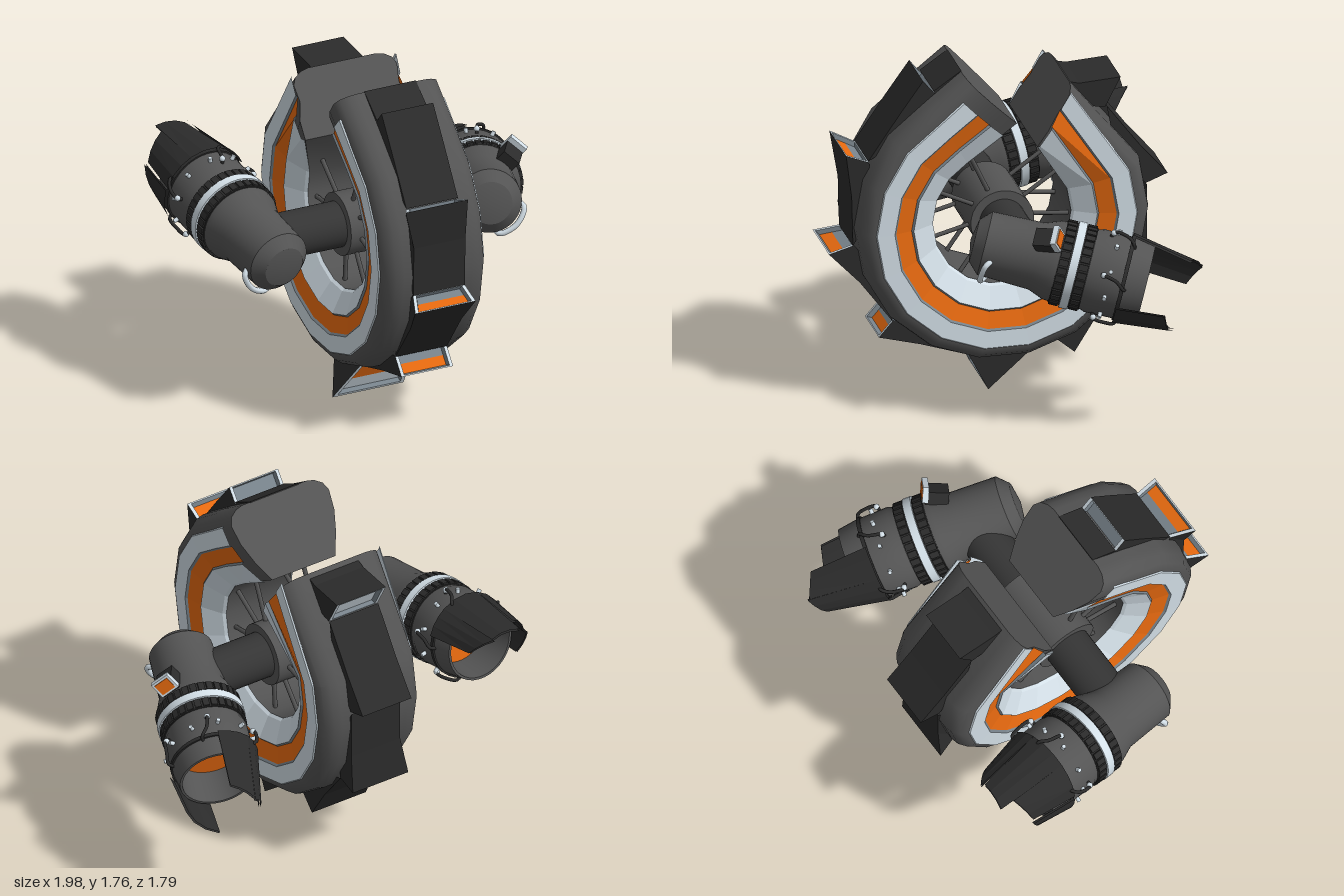
import * as THREE from 'three';
import { toCreasedNormals } from 'three/addons/utils/BufferGeometryUtils.js';

const mat = (name, color) => {
  const m = new THREE.MeshStandardMaterial({ color, side: THREE.DoubleSide });
  m.name = name;
  return m;
};
const RAD = Math.PI / 180, CX = -0.03, CY = 0.968;
const V = (x, y, z) => new THREE.Vector3(x, y, z);

export function createModel() {
  const M = {
    hull: mat('hull grey', 0x545454), black: mat('black plating', 0x2b2b2b),
    axle: mat('axle grey', 0x353535), light: mat('pale panel', 0xd4e0e8),
    orange: mat('orange', 0xec6c10), steel: mat('slate trim', 0x78838b),
  };
  const root = new THREE.Group();
  const add = (parent, name, geo, m) => {
    const mesh = new THREE.Mesh(geo, m);
    mesh.name = name;
    parent.add(mesh);
    return mesh;
  };
  // Faceted geometry from polygons of Vector3 corners
  const faces = (list) => {
    const p = [];
    for (const f of list)
      for (let i = 1; i < f.length - 1; i++) p.push(...f[0], ...f[i], ...f[i + 1]);
    const g = new THREE.BufferGeometry();
    g.setAttribute('position', new THREE.Float32BufferAttribute(p, 3));
    g.computeVertexNormals();
    return g;
  };
  // Point on the wheel: angle from the top towards the front, radius, sideways offset
  const polar = (deg, r, x) =>
    V(CX + x, CY + r * Math.cos(deg * RAD), r * Math.sin(deg * RAD));

  // ---- Broken ring: a cross-section swept round; both torn ends are straight cuts.
  // A cut is [inner r, z, y, outer r, z, y].
  const angles = [];
  for (let a = 30; a <= 290; a += 20) angles.push(a);
  const onCut = ([r0, z0, y0, r1, z1, y1], r, x) => {
    const t = (r - r0) / (r1 - r0);
    return V(CX + x, y0 + (y1 - y0) * t, z0 + (z1 - z0) * t);
  };
  // The rear end is splayed outwards near its inner edge
  const splay = (r, x) => x * (1 + Math.max(0, 0.56 - r) * (x < 0 ? 3 : 2.5));
  const sweep = (profile, cuts, closed) => {
    const rows = [
      profile.map(([r, x]) => onCut(cuts[0], r, x)),
      ...angles.map((a) => profile.map(([r, x]) => polar(a, r, x))),
      profile.map(([r, x]) => onCut(cuts[1], r, splay(r, x))),
    ];
    const list = [], n = profile.length;
    for (let i = 0; i < rows.length - 1; i++)
      for (let j = 0; j < (closed ? n : n - 1); j++) {
        const k = (j + 1) % n;
        list.push([rows[i][j], rows[i][k], rows[i + 1][k], rows[i + 1][j]]);
      }
    if (closed) list.push(rows[0], rows[rows.length - 1].slice().reverse());
    return faces(list);
  };
  const ring = new THREE.Group();
  ring.name = 'brokenRing';
  root.add(ring);
  const half = [[0.76, 0.19], [0.75, 0.232], [0.722, 0.272], [0.68, 0.29], [0.58, 0.278], [0.475, 0.242], [0.362, 0.188]];
  const section = [...half, ...half.map(([r, x]) => [r, -x]).reverse()];
  const bodyCuts = [[0.36, -0.08, 1.47, 0.757, 0.2, 1.765], [0.36, -0.16, 1.37, 0.757, -0.35, 1.67]];
  add(ring, 'ringBody', toCreasedNormals(sweep(section, bodyCuts, true), 0.62), M.hull);
  const panelCuts = [[0.366, -0.005, 1.417, 0.68, 0.224, 1.655], [0.366, -0.167, 1.375, 0.68, -0.333, 1.656]];
  for (const s of [1, -1]) {
    const side = (name, pts, m) =>
      add(ring, name, sweep(pts.map(([r, x]) => [r, x * s]), panelCuts, false), m);
    side('outerSidePanel', [[0.682, 0.288], [0.676, 0.296], [0.584, 0.294]], M.light);
    side('outerTrim', [[0.584, 0.294], [0.574, 0.284]], M.steel);
    side('orangeStripe', [[0.574, 0.284], [0.488, 0.258]], M.orange);
    side('innerTrim', [[0.488, 0.258], [0.478, 0.267]], M.steel);
    side('innerSidePanel', [[0.478, 0.267], [0.372, 0.203], [0.36, 0.188]], M.light);
  }

  // ---- Saw-tooth scoops round the rim:
  // tip angle, tip radius, lead of the base, tail angle, sideways flare
  const teeth = [
    [27.6, 0.863, 1.6, 35, 0], [63.7, 0.893, 0.8, 34, 0.06], [98.6, 0.9, 1.3, 35, 0.05],
    [134.3, 0.88, 0.7, 33, 0], [176.4, 0.957, 9, 26, 0.11], [206.1, 0.886, 4, 33, 0.03],
    [242, 0.884, 3, 34, 0.04], [278.8, 0.885, 2, 35, 0], [317.4, 0.931, 3.4, 15.6, 0],
  ];
  const W = 0.145;
  teeth.forEach(([a, rt, lead, tail, flare], i) => {
    const tooth = new THREE.Group();
    tooth.name = 'rimScoop';
    ring.add(tooth);
    const pts = [[a - lead, 0.765], [a, rt], [a + Math.min(14, tail * 0.7), 0.79], [a + tail, 0.772], [a + tail / 2, 0.67]];
    const R = pts.map(([d, r]) => polar(d, r, W));
    const L = pts.map(([d, r], k) => polar(d, r, k === 1 ? -W - flare : -W));
    const cheek = (P) => [[P[0], P[1], P[2]], [P[0], P[2], P[4]], [P[2], P[3], P[4]]];
    add(tooth, 'scoopShell', faces([
      ...cheek(R), ...cheek(L).map((f) => f.reverse()),
      [R[1], L[1], L[2], R[2]], [R[2], L[2], L[3], R[3]],
    ]), M.black);
    // Framed opening on the leading side, its back wall in two colours
    const outer = [R[0], R[1], L[1], L[0]];
    const mid = outer.reduce((s, v) => s.add(v), V(0, 0, 0)).multiplyScalar(0.25);
    const inner = outer.map((v) => v.clone().lerp(mid, 0.12));
    const depth = polar(a + 9, 0.77, 0).sub(mid).setLength(0.025);
    const deep = inner.map((v) => v.clone().lerp(mid, 0.06).add(depth));
    const split = i === 4 ? 0.62 : 0.45;
    const cutR = deep[0].clone().lerp(deep[1], split), cutL = deep[3].clone().lerp(deep[2], split);
    const nearBase = [deep[0], cutR, cutL, deep[3]], nearTip = [cutR, deep[1], deep[2], cutL];
    const bridge = (A, B) => A.map((v, k) => [v, A[(k + 1) % 4], B[(k + 1) % 4], B[k]]);
    const [baseMat, tipMat] = { 0: [M.steel, M.steel], 4: [M.orange, M.light], 8: [M.light, M.light] }[i]
      ?? [M.steel, M.orange];
    add(tooth, 'scoopFrame', faces(bridge(outer, inner)), M.light);
    add(tooth, 'scoopWalls', faces(bridge(inner, deep)), M.steel);
    add(tooth, 'scoopBackInner', faces([nearBase]), baseMat);
    add(tooth, 'scoopBackOuter', faces([nearTip]), tipMat);
  });
  // Short rim strip ahead of the first scoop
  const [s0, s1] = [[14, 0.828], [26, 0.785]].map(([d, r]) =>
    [polar(d, r, W), polar(d, r, -W), polar(d, r - 0.08, -W), polar(d, r - 0.08, W)]);
  add(ring, 'rimStrip', faces([s0, ...s0.map((v, k) => [v, s0[(k + 1) % 4], s1[(k + 1) % 4], s1[k]])]), M.black);

  // ---- Axle, hub drum and two rows of spokes
  const rod = (parent, name, a, b, r, m, seg = 8) => {
    const mesh = add(parent, name, new THREE.CylinderGeometry(r, r, a.distanceTo(b), seg), m);
    mesh.position.copy(a).lerp(b, 0.5);
    mesh.quaternion.setFromUnitVectors(V(0, 1, 0), b.clone().sub(a).normalize());
  };
  rod(root, 'axle', V(-0.66, 0.95, 0), V(0.6, 0.95, 0), 0.12, M.axle, 32);
  rod(root, 'hubDrum', V(CX - 0.2, 0.95, 0), V(CX + 0.2, 0.95, 0), 0.165, M.hull, 32);
  for (const x of [-0.14, 0.14])
    for (let i = 0; i < 8; i++)
      rod(root, 'spoke', polar(25 + i * 40, 0.14, x), polar(25 + i * 40, 0.37, x), 0.012, M.hull, 6);

  // ---- Engine pods; local +z points to the rear
  const lathe = (pts) => toCreasedNormals(
    new THREE.LatheGeometry(pts.map(([r, s]) => new THREE.Vector2(r, s)), 36).rotateX(Math.PI / 2), 0.5);
  const band = (r, s, e) => lathe([[0.2, s], [r, s], [r, e], [0.2, e]]);
  const around = (deg, r, s) => V(r * Math.cos(deg * RAD), r * Math.sin(deg * RAD), s);
  const tube = (pts, r) => new THREE.TubeGeometry(new THREE.CatmullRomCurve3(pts), 16, r, 8);

  function makePod(name, position, direction, petals, handle) {
    const pod = new THREE.Group();
    pod.name = name;
    add(pod, 'podBody', lathe([[0, -0.275], [0.11, -0.255], [0.165, -0.2], [0.174, 0.07], [0.205, 0.15],
      [0.208, 0.19], [0.208, 0.35], [0.216, 0.37], [0.212, 0.54], [0.198, 0.64], [0.185, 0.64], [0.165, 0.45]]), M.hull);
    add(pod, 'exhaustDisc', new THREE.CircleGeometry(0.166, 32).translate(0, 0, 0.46), M.orange);
    add(pod, 'treadBand', band(0.213, 0.18, 0.34), M.black);
    add(pod, 'paleBand', band(0.226, 0.238, 0.282), M.light);
    add(pod, 'rearCollar', band(0.221, 0.515, 0.535), M.black);
    // Tread blocks on both sides of the pale band
    for (let i = 0; i < 32; i++)
      for (const s of [0.208, 0.311]) {
        const block = add(pod, 'treadBlock', new THREE.BoxGeometry(0.016, 0.033, 0.048), M.black);
        block.position.copy(around(i * 11.25, 0.213, s));
        block.rotation.z = i * 11.25 * RAD;
      }
    // Bolts and bent pipes behind the tread
    for (let i = 0; i < 10; i++)
      rod(pod, 'bolt', around(i * 36 + 10, 0.2, 0.45), around(i * 36 + 10, 0.238, 0.45), 0.011, M.light);
    for (const d of [15, 95, 160, 235, 310]) {
      add(pod, 'bentPipe', tube([around(d, 0.2, 0.41), around(d, 0.24, 0.42), around(d + 4, 0.245, 0.49),
        around(d + 12, 0.235, 0.53), around(d + 14, 0.2, 0.54)], 0.009), M.black);
      add(pod, 'pipeEnd', new THREE.SphereGeometry(0.016, 10, 8), M.light).position.copy(around(d, 0.236, 0.42));
    }
    // Curved handle at the nose
    add(pod, 'noseHandle', tube([around(handle - 36, 0.155, -0.15), around(handle - 30, 0.185, -0.17),
      around(handle, 0.192, -0.18), around(handle + 30, 0.185, -0.17), around(handle + 36, 0.155, -0.15)], 0.015), M.light);
    // Broken nozzle petals: centre angle, width, end position, end slant, taper
    for (const [deg, width, end, slant, taper] of petals)
      for (const r of [0.235, 0.224]) {
        const len = end - 0.52;
        const g = new THREE.CylinderGeometry(r - taper, r, len, 3, 1, true, (deg + 90 - width / 2) * RAD, width * RAD);
        const p = g.attributes.position, u = g.attributes.uv;
        for (let i = 0; i < p.count; i++)
          if (p.getY(i) > 0) p.setY(i, p.getY(i) + slant * (u.getX(i) - 0.5));
        const plate = g.rotateX(Math.PI / 2).translate(0, 0, 0.52 + len / 2).toNonIndexed();
        plate.computeVertexNormals();
        add(pod, 'nozzlePetal', plate, M.black);
      }
    pod.lookAt(V(...direction));
    pod.position.set(...position);
    root.add(pod);
    return pod;
  }
  const leftPod = makePod('leftPod', [0.6, 0.95, 0], [0.31, -0.23, -0.92],
    [[18, 50, 0.87, 0.06, 0.06], [65, 44, 0.86, -0.06, 0.06], [232, 62, 0.8, 0.06, 0.03]], 225);
  makePod('rightPod', [-0.675, 0.95, 0], [-0.1, 0.17, -0.98],
    [[40, 50, 0.8, 0.06, 0.04], [92, 54, 0.89, -0.03, 0.06], [138, 38, 0.84, -0.12, 0.05], [350, 40, 0.74, 0.08, 0.03]], 312);

  // Rear-facing framed lamp on the outer shoulder of the left pod
  const lamp = new THREE.Group();
  lamp.name = 'shoulderLamp';
  lamp.position.copy(around(132, 0.215, 0.1));
  lamp.rotation.set(0, 0, 132 * RAD);
  const head = new THREE.Group();
  head.name = 'lampHead';
  head.rotation.y = 25 * RAD;
  lamp.add(head);
  add(head, 'lampBase', new THREE.BoxGeometry(0.07, 0.1, 0.12), M.black);
  add(head, 'lampFrame', new THREE.BoxGeometry(0.09, 0.105, 0.03), M.light).position.set(0.02, 0, 0.06);
  add(head, 'lampFace', new THREE.BoxGeometry(0.066, 0.08, 0.006), M.orange).position.set(0.02, 0, 0.076);
  leftPod.add(lamp);

  return root;
}
